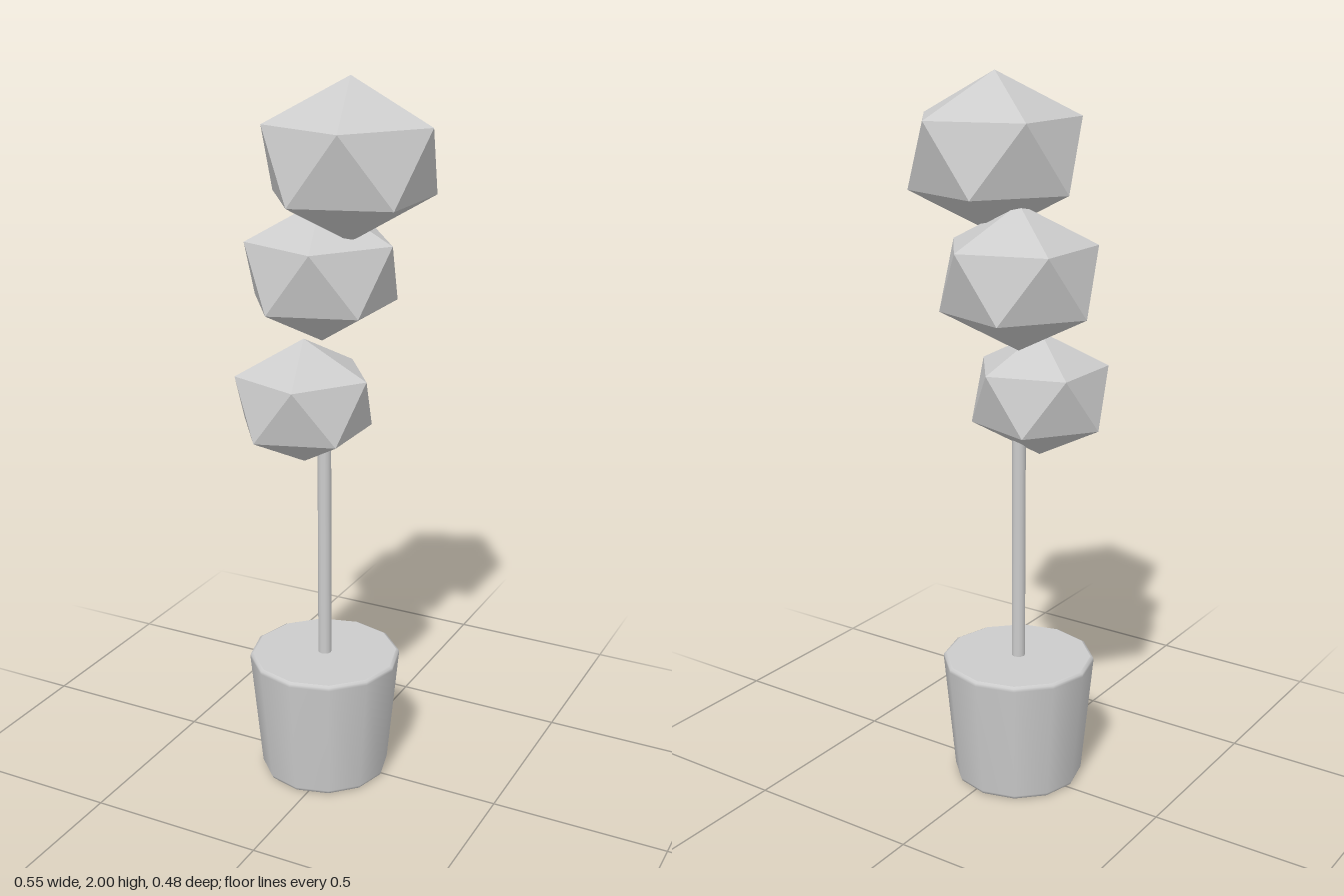
import * as THREE from 'three';

const grey = new THREE.MeshStandardMaterial({ color: 0xcccccc });
grey.name = 'plain grey';
const facetedGrey = grey.clone(); // same colour, flat facets
facetedGrey.name = 'faceted grey';
facetedGrey.flatShading = true;

function add(group, name, geometry, material, x = 0, y = 0, z = 0) {
  const mesh = new THREE.Mesh(geometry, material);
  mesh.name = name;
  mesh.position.set(x, y, z);
  group.add(mesh);
}

// Icosahedron standing on a point: two pentagon rings and two poles
function foliageGeometry(ringRadius, halfHeight) {
  const pos = [0, halfHeight, 0, 0, -halfHeight, 0];
  const index = [];
  const ringY = halfHeight / Math.sqrt(5);
  for (let i = 0; i < 5; i++) {
    for (const [turn, y] of [[0, ringY], [0.5, -ringY]]) {
      const a = (i + turn) * Math.PI * 0.4;
      pos.push(ringRadius * Math.cos(a), y, -ringRadius * Math.sin(a));
    }
    const u = 2 + 2 * i, l = u + 1;
    const u2 = 2 + 2 * ((i + 1) % 5), l2 = u2 + 1;
    index.push(0, u, u2, u, l, u2, l, l2, u2, l, 1, l2);
  }
  const indexed = new THREE.BufferGeometry();
  indexed.setAttribute('position', new THREE.Float32BufferAttribute(pos, 3));
  indexed.setIndex(index);
  const g = indexed.toNonIndexed();
  g.computeVertexNormals();
  return g;
}

export function createModel() {
  const model = new THREE.Group();
  model.name = 'pottedTree';

  // Tapered twelve-sided pot with softened rims
  const pot = new THREE.Group();
  pot.name = 'pot';
  pot.position.set(-0.032, 0, 0.013);
  model.add(pot);
  const profile = [[0.172, 0], [0.18, 0.003], [0.184, 0.012], [0.216, 0.354], [0.215, 0.363], [0.207, 0.367]]
    .map(([r, y]) => new THREE.Vector2(r, y));
  add(pot, 'potWall', new THREE.LatheGeometry(profile, 12), grey);
  add(pot, 'soil', new THREE.CircleGeometry(0.207, 12).rotateX(-Math.PI / 2), grey, 0, 0.367, 0);
  add(pot, 'potBase', new THREE.CircleGeometry(0.172, 12).rotateX(Math.PI / 2), grey);

  // Slim trunk ending inside the lowest ball
  add(model, 'trunk', new THREE.CylinderGeometry(0.019, 0.019, 0.75, 12), grey, -0.032, 0.725, 0.013);

  // Foliage balls: name, ring radius, half height, centre
  for (const [name, r, h, x, y, z] of [
    ['lowerFoliage', 0.187, 0.174, -0.068, 1.14, 0.062],
    ['middleFoliage', 0.209, 0.194, -0.067, 1.476, -0.043],
    ['upperFoliage', 0.23, 0.212, 0.043, 1.788, 0.008],
  ]) add(model, name, foliageGeometry(r, h), facetedGrey, x, y, z);

  return model;
}
